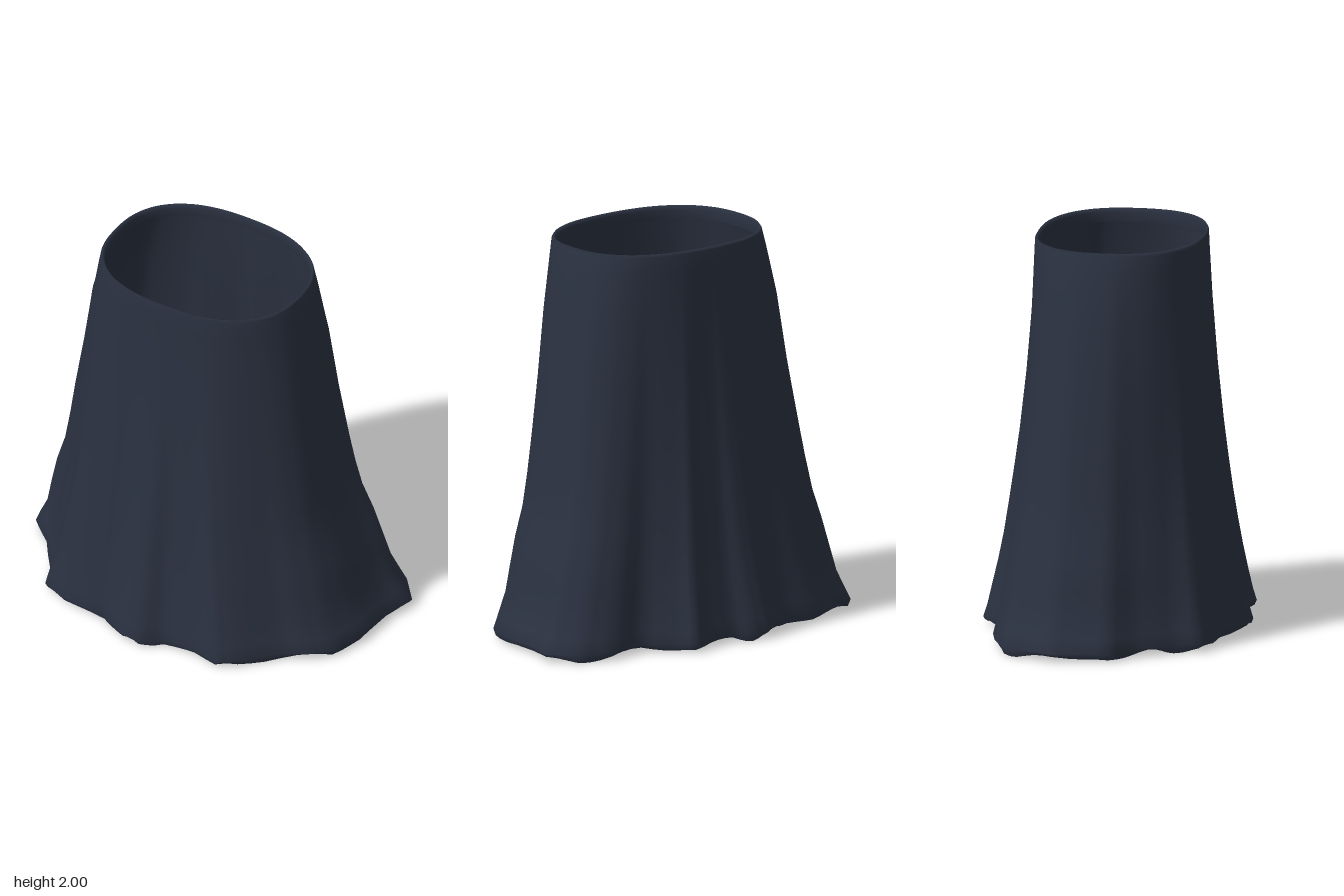
import * as THREE from 'three';

// Hem outline (x, z), running from the back round the left side to the front and on
const HEM = [
  [0, -0.62], [0.16, -0.635], [0.28, -0.67], [0.35, -0.6], [0.5, -0.5], [0.71, -0.525], [0.88, -0.47],
  [0.99, -0.34], [0.945, -0.19], [0.93, 0.04], [0.875, 0.21], [0.78, 0.31], [0.66, 0.38], [0.51, 0.54],
  [0.42, 0.61], [0.28, 0.58], [0.1, 0.585], [0, 0.665], [-0.1, 0.66], [-0.27, 0.56], [-0.36, 0.565],
  [-0.51, 0.555], [-0.64, 0.505], [-0.685, 0.385], [-0.75, 0.3], [-0.82, 0.2], [-0.95, 0.09],
  [-0.975, -0.06], [-0.995, -0.2], [-0.92, -0.35], [-0.875, -0.455], [-0.72, -0.52], [-0.57, -0.555],
  [-0.41, -0.54], [-0.33, -0.565], [-0.19, -0.67], [-0.09, -0.67],
];

// Each row: height, flare at the left, flare at the right, flare at front and back
const ROWS = [
  [1.985, 0, 0, 0], [1.9, 0.05, 0.06, 0.015], [1.64, 0.18, 0.22, 0.06], [1.3, 0.28, 0.34, 0.17],
  [1.0, 0.38, 0.46, 0.3], [0.8, 0.45, 0.53, 0.41], [0.63, 0.53, 0.6, 0.51], [0.48, 0.67, 0.71, 0.6],
  [0.34, 0.75, 0.78, 0.71], [0.2, 0.82, 0.84, 0.84], [0.11, 0.93, 0.94, 0.92], [0.045, 1, 1, 1],
];
const SUB = 3;

// Waist point on a slightly squared oval, facing the given hem point
function waistPoint(x, z, rx, rz) {
  const u = x, v = z / 0.68, n = 2.4;
  const k = Math.pow(Math.abs(u) ** n + Math.abs(v) ** n, -1 / n);
  return [u * k * rx, v * k * rz];
}

function skirtGeometry() {
  const columns = [];
  HEM.forEach(([x, z], i) => {
    const [nx, nz] = HEM[(i + 1) % HEM.length];
    for (let s = 0; s < SUB; s++) {
      const t = s / SUB;
      columns.push([x + (nx - x) * t, z + (nz - z) * t]);
    }
  });
  const rings = [];
  const waistRing = (rx, rz, y) => rings.push(columns.map(([x, z]) => {
    const [wx, wz] = waistPoint(x, z, rx, rz);
    return [wx, y, wz];
  }));

  // Rolled waist edge
  waistRing(0.525, 0.41, 1.93);
  waistRing(0.52, 0.403, 1.98);
  waistRing(0.533, 0.414, 2);

  // Flaring body, folds deepening towards the hem
  for (const [y, left, right, depth] of ROWS) {
    rings.push(columns.map(([x, z]) => {
      const [wx, wz] = waistPoint(x, z, 0.542, 0.422);
      const side = x * x / (x * x + z * z * 2);
      const f = THREE.MathUtils.lerp(depth, x > 0 ? left : right, side);
      return [wx + (x - wx) * f, y, wz + (z - wz) * f];
    }));
  }

  // Uneven hem, turned slightly inwards
  rings.push(columns.map(([x, z], j) => {
    const a = j / columns.length * Math.PI * 2;
    return [x * 0.985, 0.018 + 0.011 * Math.sin(a * 11) + 0.007 * Math.sin(a * 17 + 1), z * 0.985];
  }));

  const n = columns.length, index = [];
  for (let r = 0; r < rings.length - 1; r++) {
    for (let j = 0; j < n; j++) {
      const a = r * n + j, b = r * n + (j + 1) % n;
      index.push(a, b, a + n, b, b + n, a + n);
    }
  }
  const geometry = new THREE.BufferGeometry();
  geometry.setAttribute('position', new THREE.Float32BufferAttribute(rings.flat(2), 3));
  geometry.setIndex(index);
  geometry.computeVertexNormals();
  return geometry;
}

export function createModel() {
  const group = new THREE.Group();
  group.name = 'longSkirt';
  const material = new THREE.MeshStandardMaterial({ color: 0x2a3140, side: THREE.DoubleSide });
  const skirt = new THREE.Mesh(skirtGeometry(), material);
  skirt.name = 'skirtCloth';
  group.add(skirt);
  return group;
}
